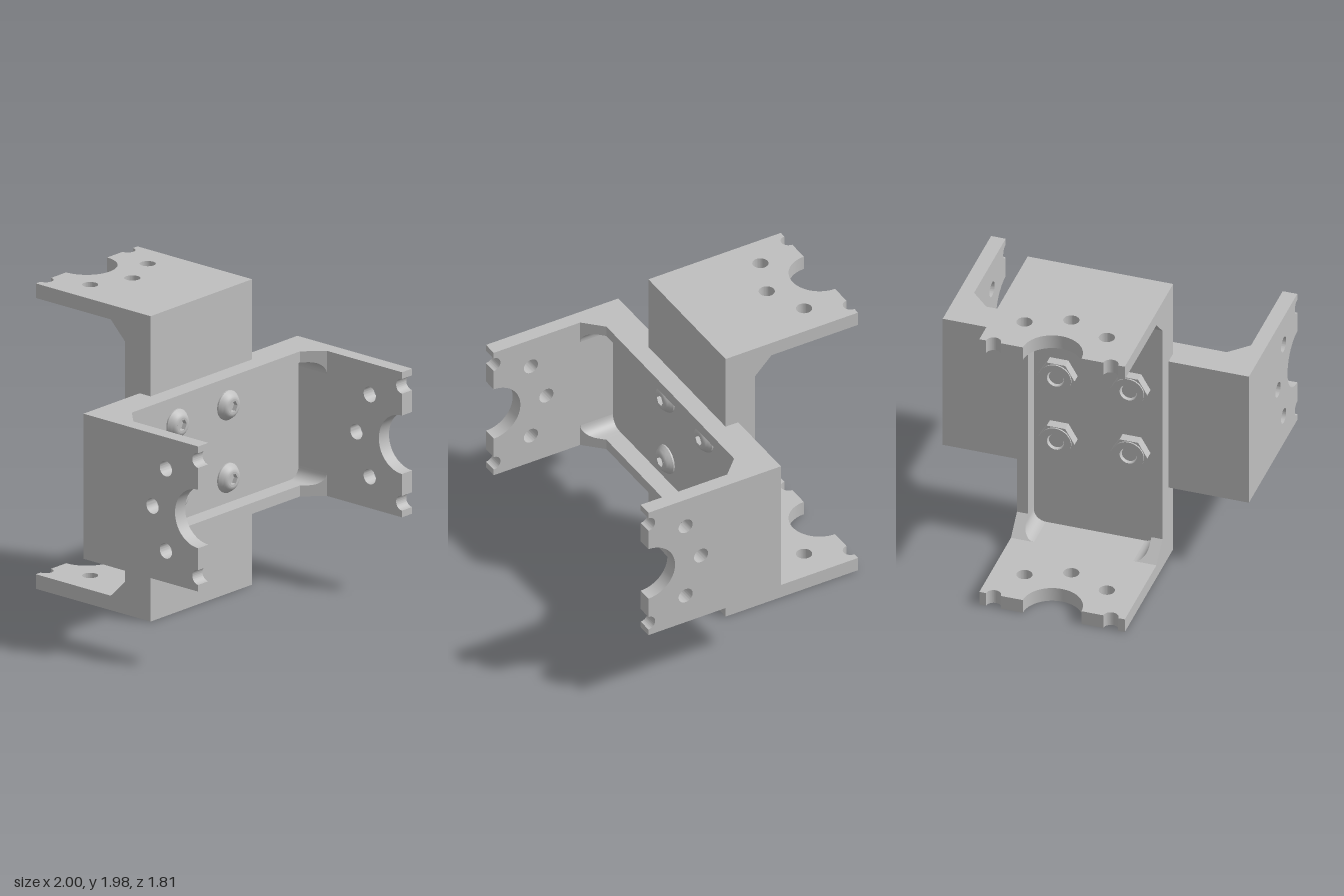
import * as THREE from 'three';
import { toCreasedNormals } from 'three/addons/utils/BufferGeometryUtils.js';

const HALF = 0.9925;   // half length of a bracket
const H = 0.4715;      // half width of a bracket
const T = 0.0945;      // plate thickness
const DEPTH = 0.943;   // outer face to tip of leg
const IN = HALF - T;   // inner face of leg
const RIM = 0.209;     // height of the stiffening rim
const CH = 0.78;       // where the corner chamfer starts

const steel = new THREE.MeshStandardMaterial({ color: 0xbfbfbf });
steel.name = 'steel grey';

function add(parent, name, geometry) {
  const mesh = new THREE.Mesh(geometry, steel);
  mesh.name = name;
  parent.add(mesh);
  return mesh;
}

function extrude(shape, depth) {
  return new THREE.ExtrudeGeometry(shape, { depth, bevelEnabled: false, curveSegments: 24 });
}

function hexagon(radius, PathClass) {
  const pts = [];
  for (let i = 0; i < 6; i++) {
    const a = i * Math.PI / 3;
    pts.push(new THREE.Vector2(radius * Math.cos(a), radius * Math.sin(a)));
  }
  return new PathClass(pts);
}

function circlePath(x, y, r) {
  const p = new THREE.Path();
  p.absarc(x, y, r, 0, Math.PI * 2, true);
  return p;
}

// Leg plate: three notches in the free edge and three holes
function legGeometry() {
  const s = new THREE.Shape();
  s.moveTo(0, -H);
  s.lineTo(DEPTH, -H);
  for (const [c, r] of [[-0.38, 0.048], [0, 0.19], [0.38, 0.048]]) {
    s.lineTo(DEPTH, c - r);
    s.absarc(DEPTH, c, r, -Math.PI / 2, Math.PI / 2, true);
  }
  s.lineTo(DEPTH, H);
  s.lineTo(0, H);
  s.closePath();
  for (const [z, y] of [[0.678, 0.267], [0.568, 0], [0.678, -0.267]]) {
    s.holes.push(circlePath(z, y, 0.05));
  }
  return toCreasedNormals(extrude(s, T).rotateY(-Math.PI / 2), 0.6);
}

// Corner of the rim: rounded pocket corner below a sloping top
function cornerGeometry(sx, sy) {
  const r = 0.078, pts = [[CH, 0.4], [CH, H], [IN, H]];
  for (let i = 0; i <= 8; i++) {
    const a = i / 8 * Math.PI / 2;
    pts.push([IN - r + r * Math.cos(a), 0.4 - r + r * Math.sin(a)]);
  }
  const g = extrude(new THREE.Shape(pts.map(([x, y]) => new THREE.Vector2(x * sx, y * sy))), RIM - T);
  const p = g.attributes.position;
  for (let i = 0; i < p.count; i++) {
    if (p.getZ(i) > 0.01) p.setZ(i, p.getZ(i) + Math.abs(p.getX(i)) - CH);
  }
  g.translate(0, 0, T);
  return toCreasedNormals(g, 0.6);
}

// U bracket: outer face at z = 0, legs pointing to +z
function bracket(name) {
  const g = new THREE.Group();
  g.name = name;
  add(g, 'basePlate', new THREE.BoxGeometry(2 * IN, 2 * H, T).translate(0, 0, T / 2));
  const leg = legGeometry();
  add(g, 'leftLeg', leg).position.x = HALF;
  add(g, 'rightLeg', leg).position.x = -IN;
  for (const sy of [-1, 1]) {
    add(g, 'rim', new THREE.BoxGeometry(2 * CH, H - 0.4, RIM - T))
      .position.set(0, sy * (H + 0.4) / 2, (RIM + T) / 2);
    for (const sx of [-1, 1]) add(g, 'rimCorner', cornerGeometry(sx, sy));
  }
  return g;
}

function lathe(points, segments) {
  const g = new THREE.LatheGeometry(points.map(([r, y]) => new THREE.Vector2(r, y)), segments);
  return g.rotateX(Math.PI / 2);
}

// Button head screw with hex socket, seated at z = 0
function screwHead() {
  const g = new THREE.Group();
  g.name = 'screwHead';
  const dome = [];
  for (let i = 0; i <= 6; i++) {
    const t = i / 6;
    dome.push([0.095 - 0.047 * t, 0.01 + 0.042 * Math.sin(t * Math.PI / 2)]);
  }
  add(g, 'dome', toCreasedNormals(lathe([[0.095, 0], ...dome], 32), 0.6));
  const ring = new THREE.Shape().absarc(0, 0, 0.048, 0, Math.PI * 2, false);
  ring.holes.push(hexagon(0.037, THREE.Path));
  add(g, 'socket', extrude(ring, 0.032)).position.z = 0.02;
  add(g, 'socketFloor', new THREE.CircleGeometry(0.042, 24)).position.z = 0.022;
  return g;
}

// Hex nut with chamfered corners and the screw end inside, seated at z = 0
function nut() {
  const g = new THREE.Group();
  g.name = 'nut';
  const body = hexagon(0.12, THREE.Shape);
  body.holes.push(circlePath(0, 0, 0.056));
  add(g, 'nutBody', toCreasedNormals(extrude(body, 0.062), 0.6));
  const collar = new THREE.Shape().absarc(0, 0, 0.1, 0, Math.PI * 2, false);
  collar.holes.push(circlePath(0, 0, 0.056));
  add(g, 'nutCollar', toCreasedNormals(extrude(collar, 0.01), 0.6)).position.z = 0.062;
  add(g, 'screwEnd', new THREE.CylinderGeometry(0.048, 0.048, 0.055, 24).rotateX(Math.PI / 2))
    .position.z = 0.0275;
  return g;
}

export function createModel() {
  const model = new THREE.Group();
  model.name = 'bracketPair';
  const assembly = new THREE.Group();
  assembly.name = 'assembly';
  assembly.position.set(-0.006, 0.9935, 0);
  assembly.rotation.y = 0.0126;
  model.add(assembly);

  const front = bracket('frontBracket');
  front.position.z = -0.052;
  assembly.add(front);

  // Back bracket stands upright and faces the other way
  const back = bracket('backBracket');
  back.rotation.set(0, Math.PI, Math.PI / 2, 'ZYX');
  back.position.z = 0.038;
  assembly.add(back);

  // Four screws through both plates
  for (const x of [-0.236, 0.236]) {
    for (const y of [-0.236, 0.236]) {
      const head = screwHead();
      head.position.set(x, y, -0.052 + T);
      const n = nut();
      n.position.set(x, y, 0.038 - T);
      n.rotation.y = Math.PI;
      assembly.add(head, n);
    }
  }
  return model;
}
